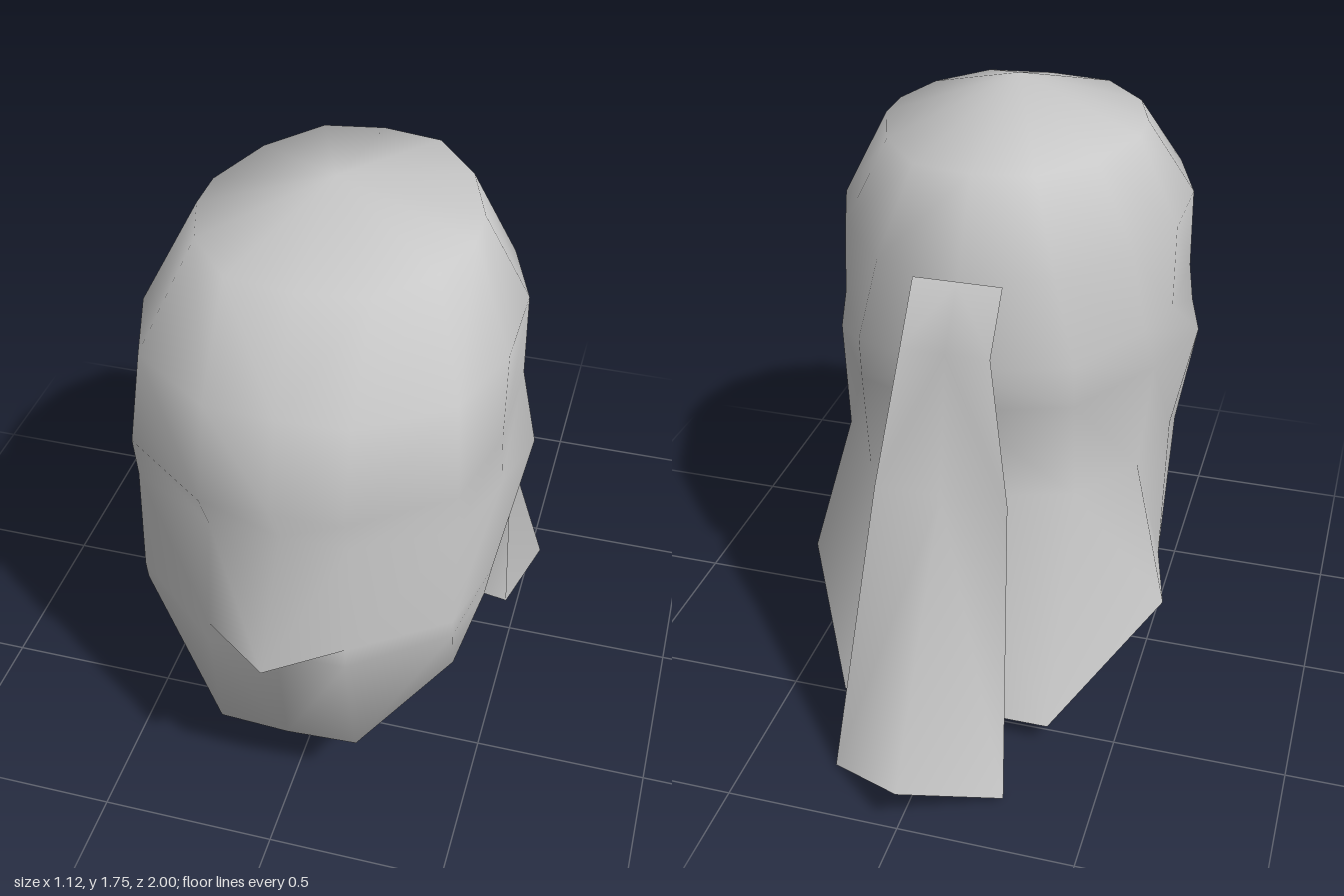
import * as THREE from 'three';
import { mergeVertices } from 'three/addons/utils/BufferGeometryUtils.js';

// Skins rows of left-half points [x, y, z] (front to back), mirrored across x = 0
function mirroredSkin(rows) {
  const pos = [];
  const tri = (a, b, c) => {
    pos.push(...a, ...b, ...c);
    for (const p of [a, c, b]) pos.push(p[0] === 0 ? 0 : -p[0], p[1], p[2]);
  };
  const same = (a, b) => a.every((v, i) => v === b[i]);
  for (let i = 0; i < rows.length - 1; i++) {
    const n = Math.min(rows[i].length, rows[i + 1].length);
    for (let j = 0; j < n - 1; j++) {
      const a = rows[i][j], b = rows[i][j + 1];
      const c = rows[i + 1][j], d = rows[i + 1][j + 1];
      if (!same(a, b)) tri(a, c, b);
      if (!same(c, d) && !same(b, d)) tri(b, c, d);
    }
  }
  const g = new THREE.BufferGeometry();
  g.setAttribute('position', new THREE.Float32BufferAttribute(pos, 3));
  const merged = mergeVertices(g, 1e-4);
  merged.computeVertexNormals();
  return merged;
}

// A level row: one height, points given as [x, z]
const level = (y, pts) => pts.map(([x, z]) => [x, y, z]);

export function createModel() {
  const group = new THREE.Group();
  const cloth = new THREE.MeshStandardMaterial({ color: 0xc8c8c8, side: THREE.DoubleSide });
  cloth.name = 'greyCloth';

  const add = (name, geometry) => {
    const mesh = new THREE.Mesh(geometry, cloth);
    mesh.name = name;
    group.add(mesh);
  };

  // Hood: crown, brow, cheeks, nose, then the chin and the flared neck flap
  const arch = [0.48, 0.57, 0.44];
  add('hood', mirroredSkin([
    level(1.75, Array(8).fill([0, 0.25])),
    level(1.63, [[0, 0.625], [0.19, 0.6], [0.32, 0.45], [0.375, 0.28], [0.375, 0.15], [0.3, -0.06], [0.17, -0.22], [0, -0.25]]),
    level(1.38, [[0, 0.81], [0.19, 0.8], [0.42, 0.64], [0.5, 0.4], [0.5, 0.12], [0.42, -0.1], [0.25, -0.31], [0, -0.375]]),
    level(1.13, [[0, 0.875], [0.19, 0.87], [0.44, 0.69], [0.5, 0.42], [0.5, 0.12], [0.45, -0.05], [0.31, -0.32], [0, -0.4375]]),
    level(1.0, [[0, 0.81], [0.19, 0.81], [0.44, 0.67], [0.51, 0.45], [0.5625, 0.25], [0.48, -0.02], [0.31, -0.31], [0, -0.42]]),
    level(0.69, [[0, 1.0], [0.19, 0.865], [0.44, 0.69], [0.5, 0.45], [0.5, 0.2], [0.45, -0.06], [0.31, -0.27], [0, -0.375]]),
    [[0, 0.63, 0.875], [0.19, 0.63, 0.87], [0.44, 0.63, 0.68], arch,
      [0.5, 0.25, 0.13], [0.5625, 0.25, -0.125], [0.3125, 0.065, -0.56], [0, 0.065, -0.56]],
    [[0, 0.25, 0.81], [0.2, 0.25, 0.8], [0.43, 0.44, 0.6], arch],
    [[0, 0.19, 0.56], [0.25, 0.19, 0.56], [0.44, 0.44, 0.48], arch],
  ]));

  // Hanging tail: flat at the top, folded along its middle at the end
  add('tail', mirroredSkin([
    [[0.125, 1.375, -0.38], [0, 1.375, -0.38]],
    [[0.125, 1.22, -0.5], [0, 1.22, -0.5]],
    [[0.19, 0.81, -0.56], [0, 0.81, -0.56]],
    [[0.25, 0, -0.81], [0, 0.125, -1]],
  ]));

  return group;
}
